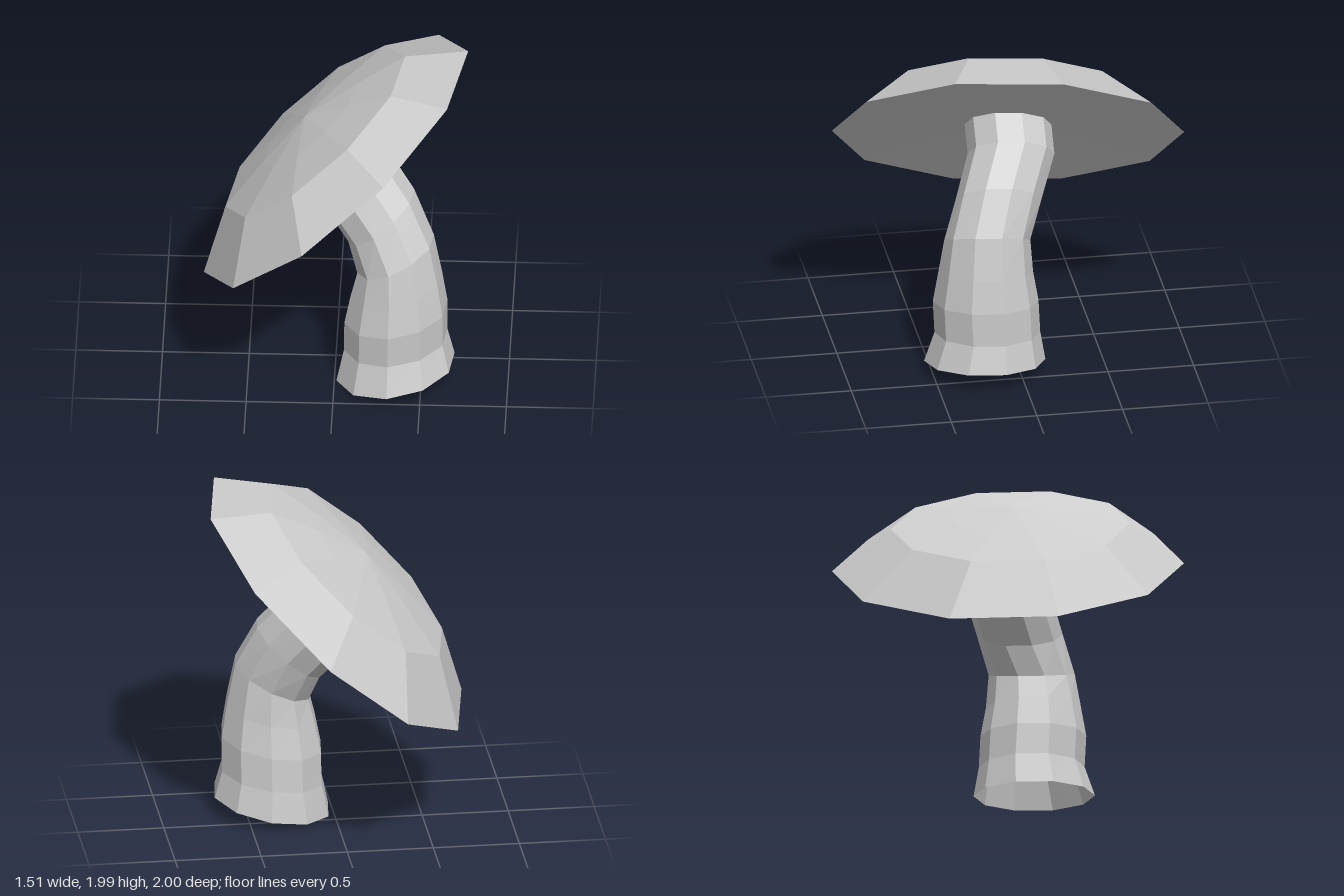
import * as THREE from 'three';

const SIDES = 10;
const PHASE = -0.2;

// Points of a ten-sided ring whose plane rises by slopeX along x and slopeZ along z
function ring([x, y, z, radius, slopeX, slopeZ]) {
  const n = new THREE.Vector3(-slopeX, 1, -slopeZ).normalize();
  const u = new THREE.Vector3(1, slopeX, 0).normalize();
  const v = new THREE.Vector3().crossVectors(u, n);
  return Array.from({ length: SIDES }, (_, i) => {
    const a = PHASE + (i / SIDES) * Math.PI * 2;
    return new THREE.Vector3(x, y, z)
      .addScaledVector(u, radius * Math.cos(a))
      .addScaledVector(v, radius * Math.sin(a));
  });
}

// Skin a sequence of rings; a ring of radius 0 closes to a point
function loft(name, sections, material) {
  const rings = sections.map(ring);
  const points = [];
  for (let j = 0; j < rings.length - 1; j++) {
    for (let i = 0; i < SIDES; i++) {
      const k = (i + 1) % SIDES;
      const a = rings[j][i], b = rings[j][k];
      const c = rings[j + 1][i], d = rings[j + 1][k];
      if (sections[j][3] > 0) points.push(a, c, b);
      if (sections[j + 1][3] > 0) points.push(b, c, d);
    }
  }
  const geometry = new THREE.BufferGeometry().setFromPoints(points);
  geometry.computeVertexNormals();
  const mesh = new THREE.Mesh(geometry, material);
  mesh.name = name;
  return mesh;
}

export function createModel() {
  const group = new THREE.Group();
  group.name = 'mushroom';
  const material = new THREE.MeshStandardMaterial({
    color: 0xcccccc, flatShading: true, side: THREE.DoubleSide,
  });

  // Bent hollow stem, open at the foot: x, y, z, radius, slopeX, slopeZ
  group.add(loft('stem', [
    [0.35, 0.07, 0.195, 0.35, 0.18, 0.03],
    [0.35, 0.25, 0.18, 0.305, 0.15, 0.03],
    [0.352, 0.45, 0.19, 0.305, 0.17, 0.03],
    [0.355, 0.64, 0.19, 0.273, 0.22, 0.05],
    [0.35, 0.84, 0.18, 0.248, 0.5, 0.08],
    [0.265, 1.05, 0.10, 0.248, 0.85, 0.12],
    [0.105, 1.26, 0, 0.25, 0.88, 0.15],
    [0, 1.395, 0, 0.25, 0.9, 0.15],
  ], material));

  // Tilted cap, from underside centre over the rim to the crown: radius, rise
  const capProfile = [
    [0, 0.25], [0.5, 0.15], [1.015, 0], [0.69, 1], [0.355, 1.28], [0, 1.5],
  ];
  group.add(loft('cap', capProfile.map(([radius, rise]) =>
    [-0.12 * rise, 1.35 + 0.205 * rise, 0, radius, 0.9, 0.153]), material));

  return group;
}
